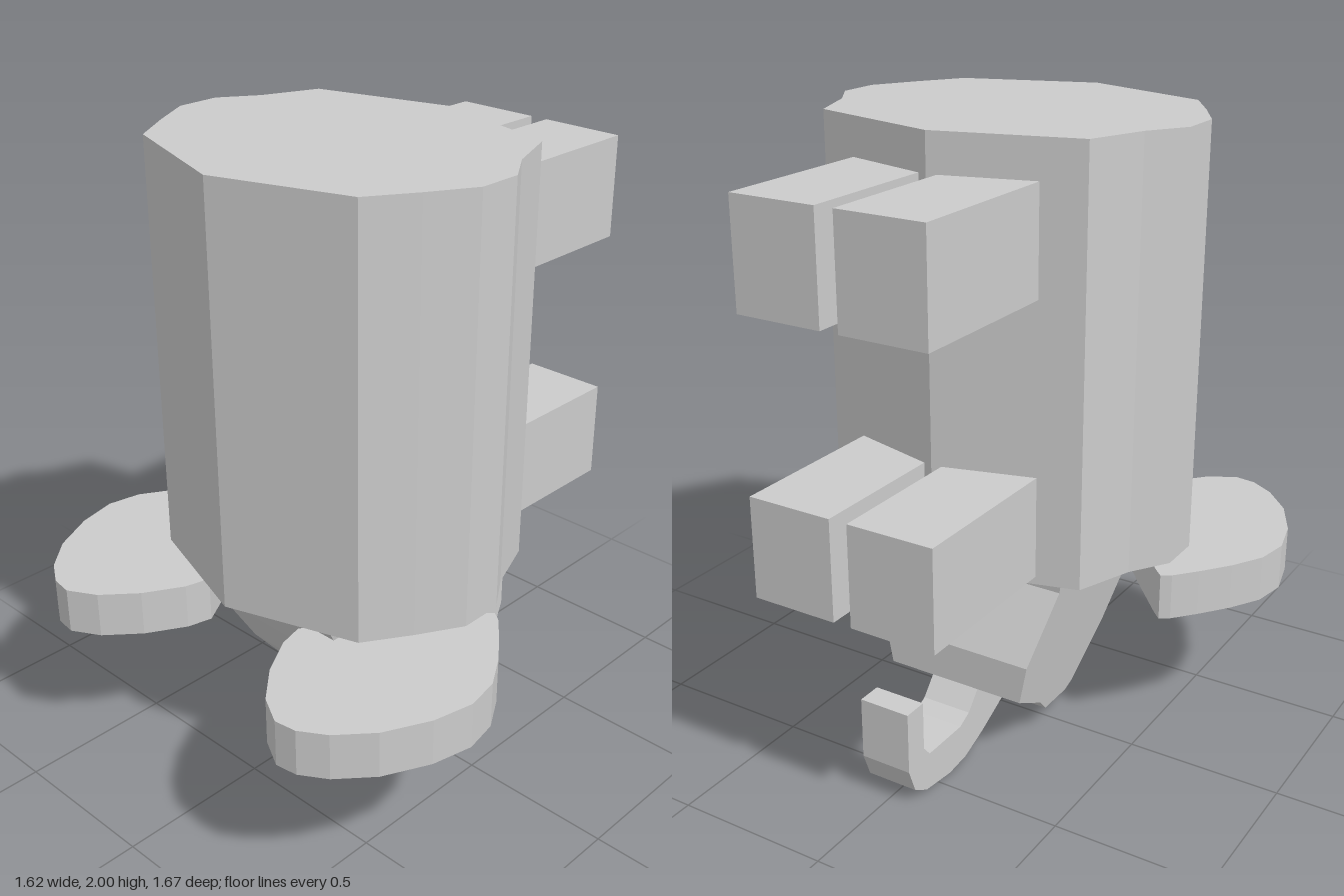
import * as THREE from 'three';

const material = new THREE.MeshStandardMaterial({ color: 0xcccccc, flatShading: true });

function add(group, name, geometry) {
  const mesh = new THREE.Mesh(geometry, material);
  mesh.name = name;
  group.add(mesh);
  return mesh;
}

const toShape = (points) => new THREE.Shape(points.map(([a, b]) => new THREE.Vector2(a, b)));

// Outline in (x, z), filled between two heights
function plate(points, bottom, top) {
  const geometry = new THREE.ExtrudeGeometry(toShape(points), { depth: top - bottom, bevelEnabled: false });
  return geometry.rotateX(Math.PI / 2).translate(0, top, 0);
}

// Side profile in (z, y), centred across x
function sideways(points, width) {
  const geometry = new THREE.ExtrudeGeometry(toShape(points), { depth: width, bevelEnabled: false });
  return geometry.translate(0, 0, -width / 2).rotateY(-Math.PI / 2);
}

export function createModel() {
  const group = new THREE.Group();
  group.name = 'elephant';

  // Upright faceted body
  const half = [[0.44, -0.27], [0.51, -0.09], [0.59, 0.03], [0.59, 0.17], [0.51, 0.31], [0.42, 0.45]];
  const mirrored = half.map(([x, z]) => [-x, z]).reverse();
  add(group, 'body', plate([[0, -0.39], ...half, [0, 0.59], ...mirrored], 0.67, 2));

  // Head, widening evenly towards the neck
  const head = sideways([
    [0.48, 0.68], [0.42, 0.58], [0.35, 0.45], [0.25, 0.28], [0.1, 0.1], [0.06, 0.08],
    [-0.07, 0.08], [-0.12, 0.13], [-0.28, 0.22], [-0.28, 0.35], [-0.2, 0.49],
    [-0.155, 0.57], [-0.16, 0.63], [-0.18, 0.68],
  ], 2);
  const position = head.attributes.position;
  for (let i = 0; i < position.count; i++) {
    position.setX(i, position.getX(i) * (0.2 + 0.19 * position.getY(i)));
  }
  head.computeVertexNormals();
  add(group, 'head', head);

  // Curled trunk
  add(group, 'trunk', sideways([
    [-0.05, 0.14], [-0.11, 0.12], [-0.25, 0.05], [-0.35, 0.01], [-0.44, 0], [-0.57, 0.015],
    [-0.63, 0.05], [-0.66, 0.13], [-0.66, 0.33], [-0.58, 0.33], [-0.58, 0.17], [-0.55, 0.135],
    [-0.38, 0.135], [-0.33, 0.16], [-0.27, 0.23], [-0.15, 0.25],
  ], 0.17));

  // Ears and legs on both sides
  const ear = [
    [0.6, 0.03], [0.66, 0.1], [0.73, 0.19], [0.79, 0.29], [0.81, 0.4], [0.78, 0.53], [0.71, 0.67],
    [0.62, 0.77], [0.54, 0.82], [0.47, 0.83], [0.38, 0.78], [0.29, 0.68], [0.22, 0.56],
    [0.2, 0.48], [0.27, 0.36], [0.4, 0.2], [0.54, 0.04], [0.57, 0.01],
  ];
  for (const [side, s] of [['left', 1], ['right', -1]]) {
    add(group, side + 'Ear', plate(ear.map(([x, z]) => [s * x, z]), 0.48, 0.63));
    for (const [name, bottom, top] of [['FrontLeg', 0.695, 1.015], ['BackLeg', 1.55, 1.88]]) {
      const leg = new THREE.BoxGeometry(0.28, top - bottom, 0.58);
      add(group, side + name, leg).position.set(s * 0.17, (bottom + top) / 2, -0.55);
    }
  }
  return group;
}
